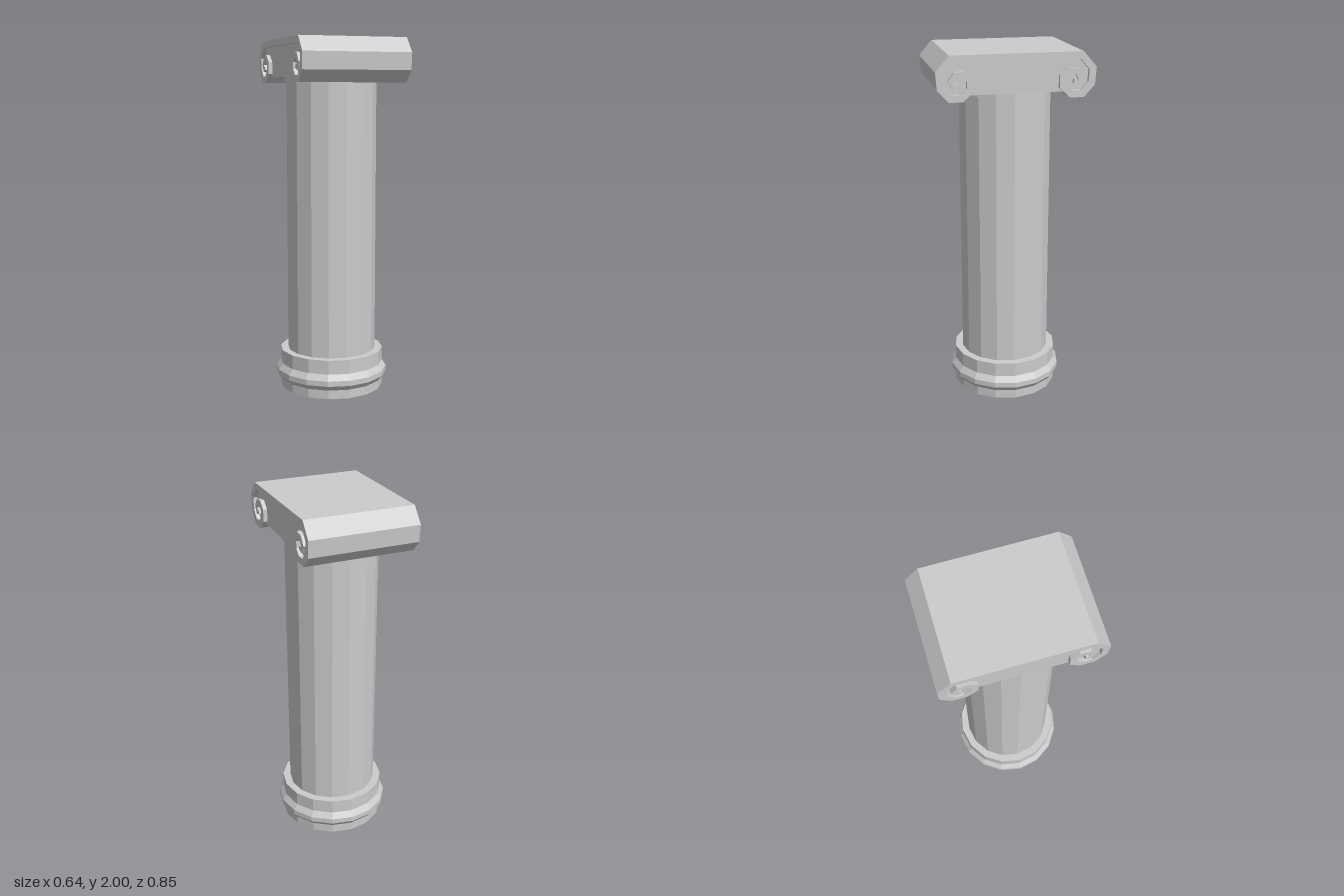
import * as THREE from 'three';

const SIDES = 16;

export function createModel() {
  const group = new THREE.Group();
  const mat = new THREE.MeshStandardMaterial({ color: 0xcccccc, flatShading: true });
  const add = (name, geo) => {
    const mesh = new THREE.Mesh(geo, mat);
    mesh.name = name;
    group.add(mesh);
  };
  const lathe = (pts) => new THREE.LatheGeometry(pts.map(([r, y]) => new THREE.Vector2(r, y)), SIDES);

  // Extrude a (z, y) outline across the width of the column
  const across = (pts, width) => {
    const shape = new THREE.Shape(pts.map(([z, y]) => new THREE.Vector2(z, y)));
    return new THREE.ExtrudeGeometry(shape, { depth: width, bevelEnabled: false })
      .translate(0, 0, -width / 2).rotateY(-Math.PI / 2);
  };
  const mirror = (pts) => pts.map(([z, y]) => [-z, y]).reverse();

  // Moulded base with a projecting ring
  add('base', lathe([[0, 0], [0.298, 0], [0.298, 0.05], [0.322, 0.08], [0.322, 0.11],
    [0.298, 0.143], [0.298, 0.223], [0, 0.223]]));

  // Faceted shaft and the collar under the capital
  add('shaft', new THREE.CylinderGeometry(0.255, 0.255, 1.56, SIDES).translate(0, 0.99, 0));
  add('collar', lathe([[0, 1.757], [0.267, 1.757], [0.267, 1.8], [0, 1.8]]));

  // Recessed body of the capital
  const body = [[0.25, 1.79], [0.292, 1.775], [0.352, 1.775], [0.4, 1.832], [0.406, 1.912], [0.345, 1.985]];
  add('capitalBody', across([...body, ...mirror(body)], 0.565));

  // Scroll band: one ribbon over the top, curling into a volute at each end
  const curl = [[0.346, 1.9815], [0.407, 1.911], [0.401, 1.832], [0.352, 1.779], [0.292, 1.779],
    [0.246, 1.82], [0.246, 1.872], [0.28, 1.902], [0.322, 1.897], [0.345, 1.866],
    [0.33, 1.838], [0.304, 1.846]];
  const path = [...mirror(curl), ...curl].map(([z, y]) => new THREE.Vector2(z, y));
  const last = path.length - 1;
  const sideA = [], sideB = [];
  path.forEach((p, i) => {
    // Mitred offset, tapering toward the eye of each volute
    const d1 = p.clone().sub(path[Math.max(i - 1, 0)]).normalize();
    const d2 = path[Math.min(i + 1, last)].clone().sub(p).normalize();
    if (i === 0) d1.copy(d2);
    if (i === last) d2.copy(d1);
    const n = new THREE.Vector2(-d1.y - d2.y, d1.x + d2.x).normalize();
    const fromEnd = Math.min(i, last - i);
    const half = Math.min(0.0185, 0.011 + 0.0015 * fromEnd);
    const k = half / Math.max(0.5, n.x * -d2.y + n.y * d2.x);
    sideA.push([p.x + n.x * k, p.y + n.y * k]);
    sideB.push([p.x - n.x * k, p.y - n.y * k]);
  });
  add('scrollBand', across([...sideA, ...sideB.reverse()], 0.61));

  return group;
}
